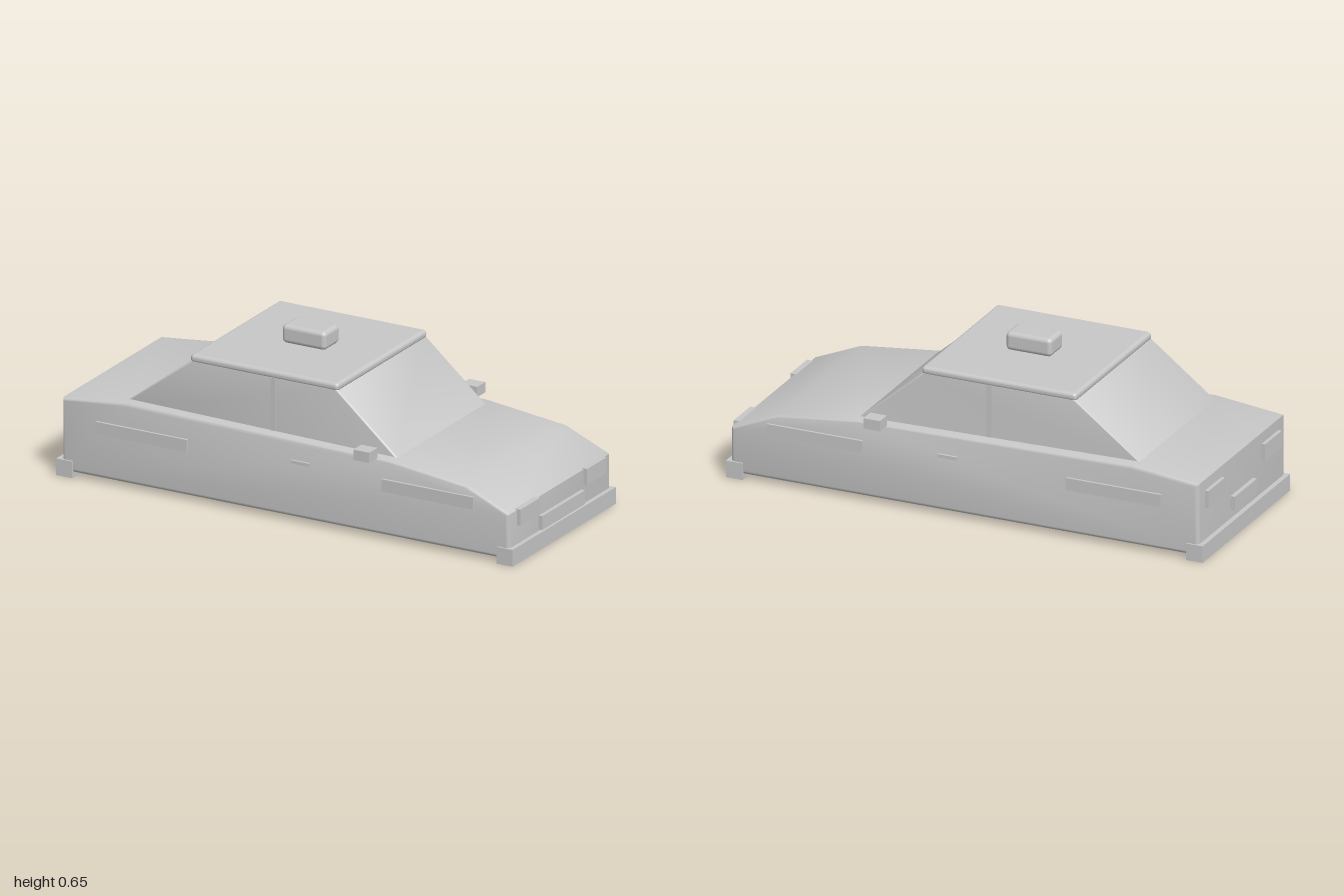
import * as THREE from 'three';
import { toCreasedNormals } from 'three/addons/utils/BufferGeometryUtils.js';
import { RoundedBoxGeometry } from 'three/addons/geometries/RoundedBoxGeometry.js';

const grey = new THREE.MeshStandardMaterial({ color: 0xc8c8c8 });
grey.name = 'plain grey';

export function createModel() {
  const car = new THREE.Group();
  car.name = 'taxi';

  const add = (name, geometry) => {
    const mesh = new THREE.Mesh(geometry, grey);
    mesh.name = name;
    car.add(mesh);
    return mesh;
  };

  // Box given by its limits; a radius rounds its edges
  const box = (name, [x0, x1], [y0, y1], [z0, z1], radius = 0) => {
    const size = [x1 - x0, y1 - y0, z1 - z0];
    const geometry = radius
      ? new RoundedBoxGeometry(...size, 3, radius)
      : new THREE.BoxGeometry(...size);
    add(name, geometry).position.set((x0 + x1) / 2, (y0 + y1) / 2, (z0 + z1) / 2);
  };

  // Matching boxes on both sides of the car
  const pair = (name, x, y, [z0, z1]) => {
    box(name + 'Right', x, y, [z0, z1]);
    box(name + 'Left', x, y, [-z1, -z0]);
  };

  // Side profile swept across the width, with rounded side edges
  const sweep = (name, points, halfWidth, bevel) => {
    const shape = new THREE.Shape(points.map(([x, y]) => new THREE.Vector2(x, y)));
    const geometry = new THREE.ExtrudeGeometry(shape, {
      depth: 2 * (halfWidth - bevel),
      bevelThickness: bevel,
      bevelSize: bevel,
      bevelOffset: -bevel,
      bevelSegments: 4,
    });
    geometry.translate(0, 0, bevel - halfWidth);
    add(name, toCreasedNormals(geometry, 0.6));
  };

  // Lower body: boot, waistline, bonnet
  sweep('body', [
    [-0.98, 0.02], [0.982, 0.02], [0.982, 0.206], [0.79, 0.287],
    [0.45, 0.326], [-0.7, 0.346], [-0.98, 0.315],
  ], 0.387, 0.016);

  // Cabin and roof
  sweep('cabin', [
    [-0.76, 0.307], [0.49, 0.3], [0.46, 0.326], [0.195, 0.555], [-0.435, 0.555],
  ], 0.341, 0.008);
  pair('doorPillar', [-0.09, -0.07], [0.33, 0.55], [0.335, 0.343]);
  box('roof', [-0.445, 0.205], [0.543, 0.577], [-0.343, 0.343], 0.015);
  box('roofSign', [-0.207, -0.015], [0.575, 0.65], [-0.058, 0.058], 0.018);

  // Bumpers
  box('frontBumper', [0.93, 1], [0, 0.068], [-0.394, 0.394]);
  box('rearBumper', [-1, -0.93], [0, 0.068], [-0.394, 0.394]);

  // Lamps and plates
  pair('headlamp', [0.97, 0.997], [0.145, 0.21], [0.18, 0.33]);
  pair('tailLamp', [-0.995, -0.97], [0.2, 0.27], [0.18, 0.33]);
  box('frontPlate', [0.97, 0.998], [0.074, 0.13], [-0.163, 0.163]);
  box('rearPlate', [-0.998, -0.97], [0.105, 0.16], [-0.1, 0.1]);

  // Side trim, handles and mirrors
  pair('rearSideStrip', [-0.826, -0.427], [0.2, 0.25], [0.375, 0.397]);
  pair('frontSideStrip', [0.427, 0.828], [0.2, 0.25], [0.375, 0.397]);
  pair('doorHandle', [0.03, 0.11], [0.24, 0.253], [0.375, 0.397]);
  pair('mirror', [0.33, 0.4], [0.325, 0.367], [0.381, 0.443]);

  return car;
}
